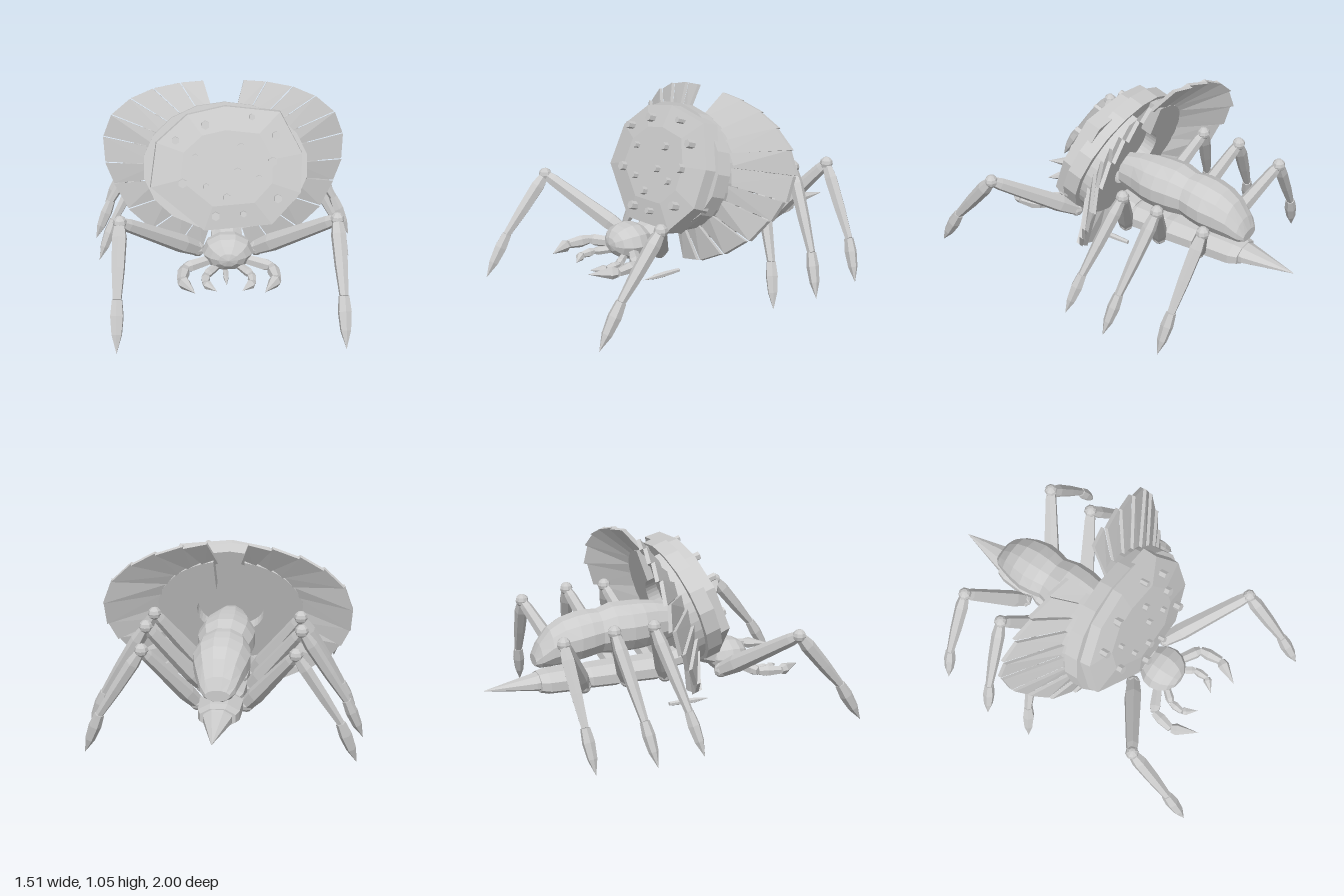
import * as THREE from 'three';
import { ConvexGeometry } from 'three/addons/geometries/ConvexGeometry.js';

const V = (x, y, z) => new THREE.Vector3(x, y, z);
const material = new THREE.MeshStandardMaterial({ color: 0xcccccc, flatShading: true });

function add(parent, name, geometry) {
  const mesh = new THREE.Mesh(geometry, material);
  mesh.name = name;
  parent.add(mesh);
  return mesh;
}

// Closed tube through elliptical rings [z, centreY, radiusX, radiusY], listed front to back
function loft(rings, sides) {
  const pos = [], index = [];
  for (const [z, cy, rx, ry] of rings)
    for (let i = 0; i < sides; i++) {
      const a = ((i + 0.5) / sides) * Math.PI * 2;
      pos.push(Math.cos(a) * rx, cy + Math.sin(a) * ry, z);
    }
  const first = rings[0], last = rings[rings.length - 1];
  const front = rings.length * sides, base = front - sides;
  pos.push(0, first[1], first[0], 0, last[1], last[0]);
  for (let i = 0; i < sides; i++) {
    const j = (i + 1) % sides;
    for (let k = 0; k < rings.length - 1; k++) {
      const a = k * sides, b = a + sides;
      index.push(a + i, b + i, a + j, a + j, b + i, b + j);
    }
    index.push(front, i, j, front + 1, base + j, base + i);
  }
  const g = new THREE.BufferGeometry();
  g.setAttribute('position', new THREE.Float32BufferAttribute(pos, 3));
  g.setIndex(index);
  g.computeVertexNormals();
  return g;
}

// Six-sided limb piece from a to b; profile lists [fraction along, radius]
function limb(parent, name, a, b, profile) {
  const dir = b.clone().sub(a), len = dir.length();
  const pts = [[0, 0], ...profile, [1, 0]].map(([t, r]) => new THREE.Vector2(r, t * len));
  const mesh = add(parent, name, new THREE.LatheGeometry(pts, 6));
  mesh.position.copy(a);
  mesh.quaternion.setFromUnitVectors(V(0, 1, 0), dir.normalize());
}

function joint(parent, name, p, r) {
  add(parent, name, new THREE.SphereGeometry(r, 8, 6)).position.copy(p);
}

function makeLeg(parent, name, side, thick, hip, knee, ankle, foot) {
  const leg = new THREE.Group();
  leg.name = name;
  const [h, k, a, f] = [hip, knee, ankle, foot].map(([x, y, z]) => V(x * side, y, z));
  const scaled = (profile) => profile.map(([t, r]) => [t, r * thick]);
  joint(leg, 'hipJoint', h, 0.042);
  limb(leg, 'upperLeg', h, k, scaled([[0, 0.034], [0.2, 0.043], [0.9, 0.03], [1, 0.022]]));
  joint(leg, 'kneeJoint', k, 0.037);
  limb(leg, 'lowerLeg', k, a, scaled([[0, 0.022], [0.2, 0.034], [0.6, 0.03], [1, 0.02]]));
  limb(leg, 'foot', a, f, scaled([[0, 0.024], [0.3, 0.031], [0.65, 0.024]]));
  parent.add(leg);
}

function makeShield() {
  const shield = new THREE.Group();
  shield.name = 'shield';
  shield.position.set(0, 0.69, 0.24);
  shield.rotation.x = -0.333;

  // Faceted front plate
  const outline = [[-0.415, -0.105], [-0.125, -0.348], [0.25, -0.32], [0.41, -0.148], [0.42, 0.07],
    [0.3, 0.3], [0, 0.335], [-0.21, 0.29], [-0.38, 0.14]];
  const layers = [[1, -0.1], [0.98, -0.01], [0.6, 0.015]];
  add(shield, 'frontPlate', new ConvexGeometry(
    layers.flatMap(([s, z]) => outline.map(([x, y]) => V(x * s, y * s, z)))));

  // Round disc behind the plate
  const disc = add(shield, 'disc', new THREE.CylinderGeometry(1, 1, 0.085, 18).rotateX(Math.PI / 2));
  disc.scale.set(0.45, 0.35, 1);
  disc.position.z = -0.115;

  // Notched back ring, open at the top
  const c = new THREE.Shape();
  const start = Math.PI / 2 + 0.21, end = Math.PI * 2.5 - 0.21;
  c.absarc(0, 0, 1, start, end, false);
  c.absarc(0, 0, 0.46, end - 0.2, start + 0.2, true);
  const ring = add(shield, 'backRing',
    new THREE.ExtrudeGeometry(c, { depth: 0.08, bevelEnabled: false, curveSegments: 18 }));
  ring.scale.set(0.41, 0.335, 1);
  ring.position.z = -0.23;

  // Pegs scattered over the plate: [x, y]
  const pegs = [[-0.27, 0.15], [-0.11, 0.23], [0.14, 0.27], [0.27, 0.17], [0.08, 0.11], [-0.165, 0.06],
    [0.25, 0.03], [0.06, -0.02], [0.175, -0.06], [-0.235, -0.08], [-0.11, -0.1], [0, -0.16],
    [0.275, -0.17], [0.09, -0.25], [-0.06, -0.26]];
  pegs.forEach(([x, y], i) => {
    const r = 0.021 + 0.004 * Math.sin(i * 2.3);
    add(shield, 'peg', new THREE.CylinderGeometry(r, r, 0.07, 6).rotateX(Math.PI / 2))
      .position.set(x, y, 0.01);
  });

  // Swept-back fan of blades on each side, spread between points along the outer rim
  const rim = [[0.11, 0.465, -0.25], [0.24, 0.455, -0.265], [0.39, 0.425, -0.29], [0.52, 0.37, -0.315],
    [0.63, 0.28, -0.345], [0.68, 0.157, -0.38], [0.67, 0.01, -0.37], [0.62, -0.11, -0.35],
    [0.54, -0.25, -0.31], [0.41, -0.365, -0.28], [0.26, -0.45, -0.26], [0.13, -0.48, -0.25]]
    .map((p) => V(...p));
  for (const side of [1, -1])
    for (let i = 0; i < rim.length - 1; i++) {
      const pts = [];
      for (const edge of [0.02, 0.98]) {
        const tip = rim[i].clone().lerp(rim[i + 1], edge);
        const a = Math.atan2(tip.y / 0.475, tip.x / 0.68);
        const lift = edge < 0.5 ? 0.01 : -0.01;
        for (const t of [0, -0.022])
          pts.push(V(Math.cos(a) * 0.38 * side, Math.sin(a) * 0.3, -0.185 + lift + t),
            V(tip.x * side, tip.y, tip.z + lift + t));
      }
      add(shield, 'fanBlade', new ConvexGeometry(pts));
    }
  return shield;
}

export function createModel() {
  const model = new THREE.Group();
  model.name = 'armouredSpider';

  // Two-lobed abdomen
  add(model, 'abdomen', loft([[0.08, 0.53, 0.09, 0.1], [-0.02, 0.53, 0.115, 0.125], [-0.1, 0.53, 0.145, 0.135],
    [-0.18, 0.53, 0.158, 0.138], [-0.27, 0.53, 0.155, 0.138], [-0.35, 0.52, 0.135, 0.122],
    [-0.41, 0.515, 0.15, 0.13], [-0.48, 0.505, 0.157, 0.132], [-0.56, 0.49, 0.142, 0.126],
    [-0.63, 0.465, 0.12, 0.108], [-0.69, 0.425, 0.095, 0.07], [-0.72, 0.4, 0.065, 0.03]], 12));

  // Segmented lower body, tail spike and neck
  const body = [];
  for (let i = 0; i < 3; i++) {
    const z = 0.03 - i * 0.24;
    body.push([z, 0.268, 0.1, 0.06], [z - 0.05, 0.268, 0.125, 0.07], [z - 0.2, 0.268, 0.118, 0.066]);
  }
  body.push([-0.7, 0.27, 0.1, 0.055]);
  add(model, 'lowerBody', loft(body, 8));
  add(model, 'tailSpike', loft([[-0.66, 0.275, 0.08, 0.055], [-0.72, 0.27, 0.08, 0.045],
    [-1, 0.257, 0.002, 0.002]], 8));
  add(model, 'neck', loft([[0.36, 0.29, 0.09, 0.065], [0.22, 0.33, 0.09, 0.055], [0, 0.29, 0.09, 0.05]], 8));

  // Head
  const head = add(model, 'head', new THREE.SphereGeometry(1, 10, 8).rotateX(Math.PI / 2));
  head.scale.set(0.138, 0.1, 0.125);
  head.position.set(0, 0.285, 0.425);

  model.add(makeShield());

  // Legs: thickness, hip, knee, ankle, foot
  const legs = {
    frontLeg: [1.2, [0.16, 0.25, 0.33], [0.56, 0.55, 0.605], [0.575, 0.24, 0.86], [0.58, 0.01, 1]],
    secondLeg: [1.1, [0.13, 0.26, 0], [0.4, 0.65, -0.17], [0.63, 0.24, -0.065], [0.72, 0.01, -0.01]],
    thirdLeg: [1.1, [0.13, 0.26, -0.225], [0.413, 0.65, -0.395], [0.66, 0.24, -0.325], [0.755, 0.01, -0.285]],
    backLeg: [1.1, [0.13, 0.26, -0.475], [0.395, 0.615, -0.665], [0.63, 0.24, -0.635], [0.72, 0.01, -0.61]],
  };
  // Mouthparts: paths from the head to the pointed tip
  const jaws = {
    outerJaw: [[0.08, 0.25, 0.45], [0.23, 0.24, 0.53], [0.25, 0.235, 0.66], [0.178, 0.235, 0.8]],
    innerJaw: [[0.05, 0.23, 0.48], [0.12, 0.215, 0.57], [0.125, 0.21, 0.65], [0.065, 0.2, 0.72]],
  };
  for (const side of [1, -1]) {
    const prefix = side > 0 ? 'left ' : 'right ';
    for (const [name, points] of Object.entries(legs)) makeLeg(model, prefix + name, side, ...points);
    for (const [name, points] of Object.entries(jaws)) {
      const p = points.map(([x, y, z]) => V(x * side, y, z));
      const r = name === 'outerJaw' ? 0.034 : 0.025;
      limb(model, prefix + name + 'Base', p[0], p[1], [[0, r * 0.8], [0.8, r], [1, r * 0.7]]);
      limb(model, prefix + name + 'Middle', p[1], p[2], [[0, r * 0.7], [0.4, r], [1, r * 0.7]]);
      limb(model, prefix + name + 'Tip', p[2], p[3], [[0, r * 0.7], [0.2, r]]);
    }
  }

  // Small spindle lying at ground level
  limb(model, 'groundSpindle', V(0, 0.018, 0.08), V(0, 0.018, 0.33), [[0, 0.012], [0.4, 0.017], [0.65, 0.015]]);
  return model;
}
